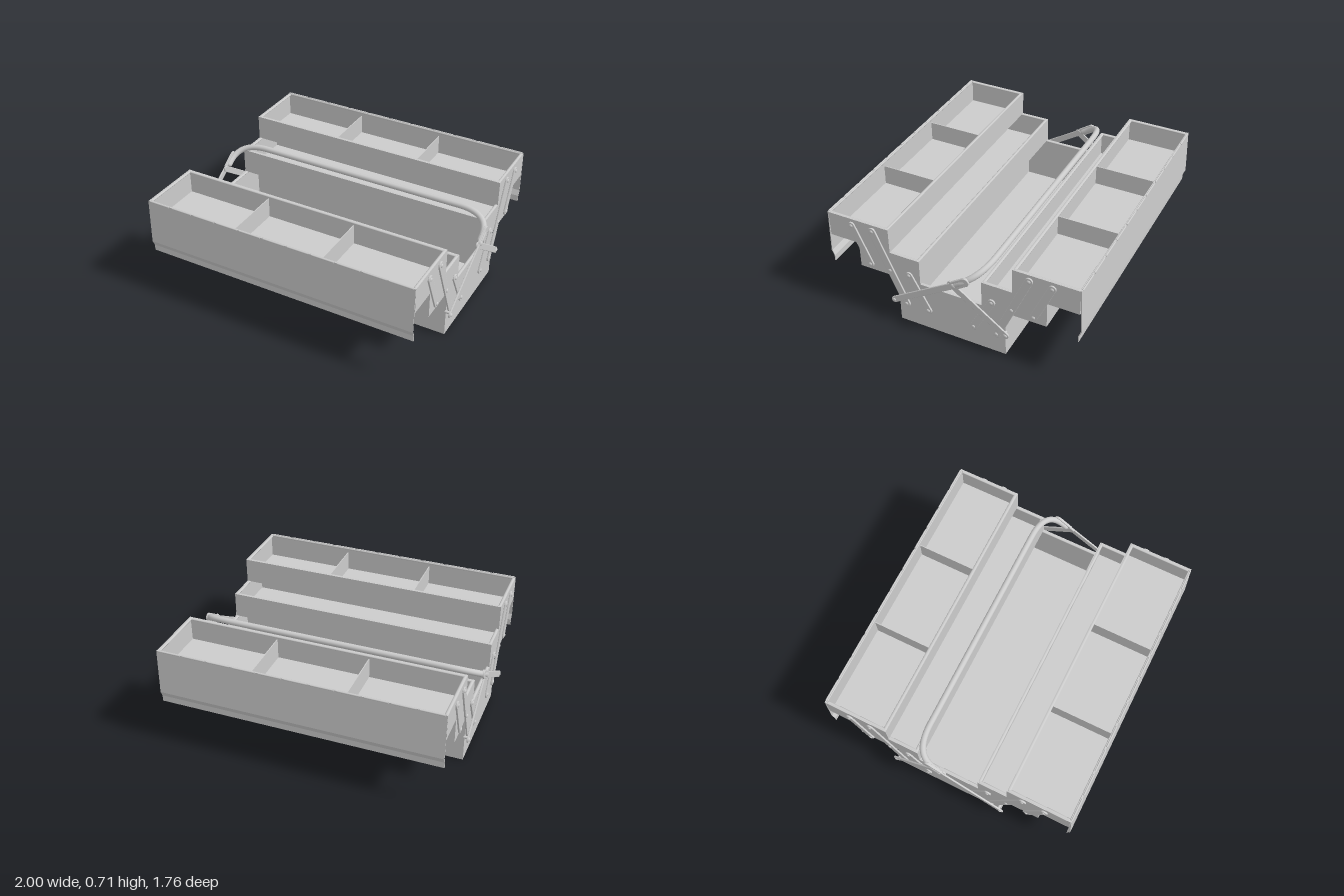
import * as THREE from 'three';

const mat = new THREE.MeshStandardMaterial({ color: 0xcccccc, side: THREE.DoubleSide });
const HALF = 0.95; // half length of the boxes
const WALL = 0.008;

function add(parent, geometry, name, x = 0, y = 0, z = 0) {
  const mesh = new THREE.Mesh(geometry, mat);
  mesh.name = name;
  mesh.position.set(x, y, z);
  parent.add(mesh);
  return mesh;
}

// Extrude a side outline, drawn as (z, y), along x and centre it
function sideExtrude(shape, depth, bevel = 0) {
  const g = new THREE.ExtrudeGeometry(shape, {
    depth, curveSegments: 10, bevelEnabled: bevel > 0,
    bevelThickness: bevel, bevelSize: bevel, bevelOffset: -bevel, bevelSegments: 2,
  });
  g.translate(0, 0, -depth / 2);
  return g.rotateY(-Math.PI / 2);
}

// Open sheet-metal box with a folded hem; z0 is the outer side, z1 the inner side
function openBox(name, z0, z1, y0, y1, outerHem) {
  const group = new THREE.Group();
  group.name = name;
  const zc = (z0 + z1) / 2, depth = Math.abs(z0 - z1), h = y1 - y0, yc = (y0 + y1) / 2;
  const dir = Math.sign(z1 - z0);
  add(group, new THREE.BoxGeometry(2 * HALF, WALL, depth), 'floor', 0, y0 + WALL / 2, zc);
  for (const s of [-1, 1]) {
    add(group, new THREE.BoxGeometry(WALL, h, depth), 'endWall', s * (HALF - WALL / 2), yc, zc);
    add(group, new THREE.BoxGeometry(2 * HALF, h, WALL), 'longWall', 0, yc, zc + s * (depth - WALL) / 2);
  }
  const strip = (a, b) => {
    const g = new THREE.CapsuleGeometry(0.007, 2 * HALF - 0.03, 4, 10);
    const m = add(group, g.rotateZ(Math.PI / 2), 'rolledHem', 0, y1 - 0.005, (a + b) / 2);
    m.scale.z = Math.abs(b - a) / 0.014;
  };
  strip(z1, z1 - dir * 0.024);
  strip(z0, z0 + dir * outerHem);
  for (const s of [-1, 1]) {
    const g = new THREE.CapsuleGeometry(0.007, depth - 0.03, 4, 10).rotateX(Math.PI / 2);
    add(group, g, 'endHem', s * (HALF - 0.012), y1 - 0.005, zc).scale.x = 1.6;
  }
  return group;
}

// Flat bar with round ends between two (z, y) points
function barGeometry(a, b, width, depth) {
  const r = width / 2, ang = Math.atan2(b[1] - a[1], b[0] - a[0]);
  const shape = new THREE.Shape();
  shape.absarc(a[0], a[1], r, ang + Math.PI / 2, ang + Math.PI * 1.5, false);
  shape.absarc(b[0], b[1], r, ang - Math.PI / 2, ang + Math.PI / 2, false);
  shape.closePath();
  return sideExtrude(shape, depth, 0.003);
}

function rivet(parent, side, x, p, r = 0.013) {
  const g = new THREE.SphereGeometry(r, 14, 8);
  add(parent, g, 'rivet', side * x, p[1], p[0]).scale.x = 0.55;
}

function linkBar(parent, name, side, x, a, b, width, rivets) {
  add(parent, barGeometry(a, b, width, 0.006), name, side * x);
  for (const p of rivets) rivet(parent, side, x + 0.006, p);
}

export function createModel() {
  const model = new THREE.Group();
  model.name = 'cantileverToolbox';

  model.add(openBox('baseBox', -0.38, 0.38, 0, 0.345, 0.02));

  for (const f of [1, -1]) {
    const half = new THREE.Group();
    half.name = f > 0 ? 'frontTrays' : 'backTrays';
    model.add(half);
    half.add(openBox('middleTray', f * 0.655, f * 0.217, 0.345, 0.525, 0.02));
    const top = openBox('topTray', f * 0.864, f * 0.427, 0.525, 0.7, 0.01);
    half.add(top);
    for (const x of [-0.315, 0.315]) {
      add(top, new THREE.BoxGeometry(0.006, 0.14, 0.42), 'divider', x, 0.6, f * 0.645);
    }

    // Lid hanging open from the outer edge, as a bent sheet
    const outline = [[0.864, 0.703], [0.87, 0.703], [0.881, 0.39], [0.864, 0.352], [0.864, 0.31],
      [0.859, 0.31], [0.859, 0.354], [0.876, 0.392]];
    const lid = new THREE.Shape(outline.map(([z, y]) => new THREE.Vector2(f * z, y)));
    add(half, sideExtrude(lid, 2 * HALF), 'lid');

    // Hinge knuckles
    for (let i = 0; i < 11; i++) {
      const g = new THREE.CylinderGeometry(0.006, 0.006, 0.15, 10).rotateZ(Math.PI / 2);
      add(half, g, 'hingeKnuckle', (i - 5) * 0.172, 0.7, f * 0.868);
    }

    // Cantilever links on both ends
    const P = (z, y) => [f * z, y];
    const longTop = P(0.54, 0.66), longMid = P(0.427, 0.394), longLow = P(0.323, 0.158);
    const upTop = P(0.69, 0.658), upLow = P(0.573, 0.394);
    const lowTop = P(0.29, 0.398), lowLow = P(0.163, 0.158);
    for (const s of [-1, 1]) {
      linkBar(half, 'longLink', s, 0.959, longTop, longLow, 0.052, [longTop, longMid, longLow]);
      linkBar(half, 'upperLink', s, 0.959, upTop, upLow, 0.05, [upTop, upLow]);
      linkBar(half, 'lowerLink', s, 0.959, lowTop, lowLow, 0.05, [lowTop, lowLow]);
    }
  }

  // Handle arms meeting at a pivot on each end
  const pivot = [-0.045, 0.464], grip = [-0.222, 0.583];
  const handle = new THREE.Group();
  handle.name = 'handle';
  model.add(handle);
  const along = (t) => [pivot[0] + (grip[0] - pivot[0]) * t, pivot[1] + (grip[1] - pivot[1]) * t];
  for (const s of [-1, 1]) {
    linkBar(handle, 'frontArm', s, 0.987, [0.394, 0.186], pivot, 0.044, [[0.394, 0.186]]);
    linkBar(handle, 'backArm', s, 0.977, [-0.394, 0.186], [-0.02, 0.46], 0.044, [[-0.394, 0.186]]);
    add(handle, barGeometry(along(0), along(0.45), 0.058, 0.012), 'handleLug', s * 0.984);
    rivet(handle, s, 0.991, pivot, 0.018);
    // Pins joining the arms to the box ends
    for (const z of [-0.38, 0.38]) {
      const pin = new THREE.CylinderGeometry(0.01, 0.01, 0.04, 12).rotateZ(Math.PI / 2);
      add(handle, pin, 'armPin', s * 0.965, 0.186, z);
    }
  }

  // Bent tube grip
  const V = (x, t) => new THREE.Vector3(x, along(t)[1], along(t)[0]);
  const path = new THREE.CurvePath();
  path.add(new THREE.LineCurve3(V(-0.978, 0.1), V(-0.978, 0.25)));
  path.add(new THREE.CubicBezierCurve3(V(-0.978, 0.25), V(-0.972, 0.75), V(-0.9, 1), V(-0.75, 1)));
  path.add(new THREE.LineCurve3(V(-0.75, 1), V(0.75, 1)));
  path.add(new THREE.CubicBezierCurve3(V(0.75, 1), V(0.9, 1), V(0.972, 0.75), V(0.978, 0.25)));
  path.add(new THREE.LineCurve3(V(0.978, 0.25), V(0.978, 0.1)));
  add(handle, new THREE.TubeGeometry(path, 160, 0.021, 14), 'gripTube');
  for (const s of [-1, 1]) {
    const e = V(s * 0.978, 0.1);
    add(handle, new THREE.SphereGeometry(0.021, 14, 10), 'gripEnd', e.x, e.y, e.z);
  }
  return model;
}
